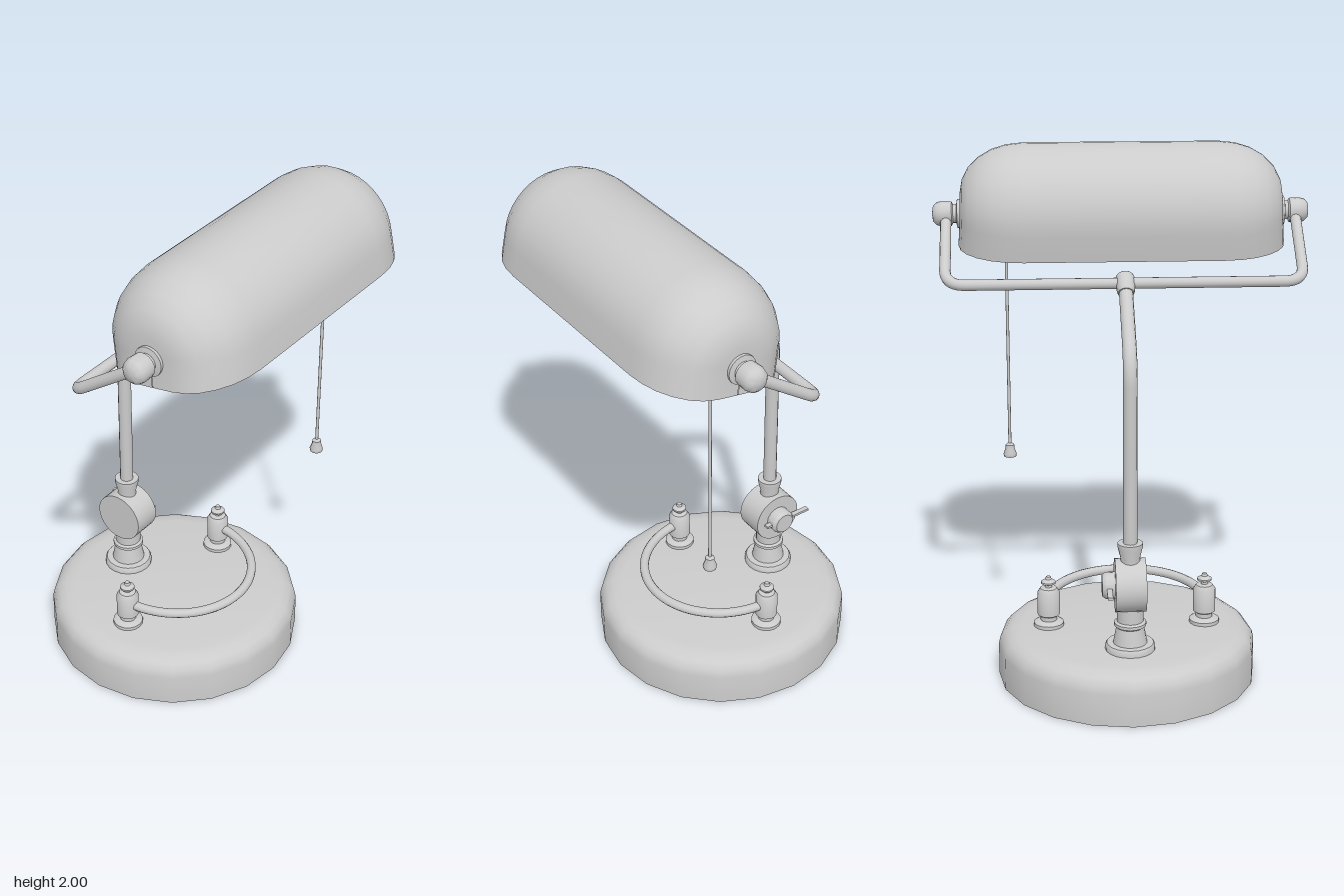
import * as THREE from 'three';
import { toCreasedNormals } from 'three/addons/utils/BufferGeometryUtils.js';

const material = new THREE.MeshStandardMaterial({ color: 0xcccccc, side: THREE.DoubleSide });
const V = (x, y, z) => new THREE.Vector3(x, y, z);

function addMesh(parent, name, geometry, x = 0, y = 0, z = 0) {
  const mesh = new THREE.Mesh(geometry, material);
  mesh.name = name;
  mesh.position.set(x, y, z);
  parent.add(mesh);
  return mesh;
}

// Turned part from [radius, height] pairs, bottom to top
function turned(profile, sides = 20) {
  const points = profile.map(([r, h]) => new THREE.Vector2(r, h));
  return toCreasedNormals(new THREE.LatheGeometry(points, sides), 0.7);
}

// Rod through points with rounded corners
function rod(points, radius, bend = 0.08, segments = 90) {
  const path = new THREE.CurvePath();
  let from = points[0];
  for (let i = 1; i < points.length - 1; i++) {
    const p = points[i];
    const a = p.clone().add(points[i - 1].clone().sub(p).setLength(bend));
    const b = p.clone().add(points[i + 1].clone().sub(p).setLength(bend));
    path.add(new THREE.LineCurve3(from, a));
    path.add(new THREE.QuadraticBezierCurve3(a, p, b));
    from = b;
  }
  path.add(new THREE.LineCurve3(from, points[points.length - 1]));
  return new THREE.TubeGeometry(path, segments, radius, 12);
}

// Hollow shade: half-round sections along x, each with a straight skirt
function shadeGeometry() {
  const half = [[0.612, 0.001], [0.611, 0.08], [0.602, 0.13], [0.58, 0.172],
    [0.54, 0.212], [0.49, 0.241], [0.435, 0.258], [0.37, 0.265]];
  const stations = [...half.map(([x, r]) => [-x, r]), ...half.slice().reverse()];
  const arc = 20, skirt = -0.097, wall = 0.01;
  const positions = [], index = [];
  const ring = 2 * (arc + 3);
  for (const [x, r] of stations) {
    const section = (radius, sx) => {
      const pts = [[sx * 1.012, skirt, radius]];
      for (let i = 0; i <= arc; i++) {
        const t = Math.PI * i / arc;
        pts.push([sx, radius * Math.sin(t), radius * Math.cos(t)]);
      }
      pts.push([sx * 1.012, skirt, -radius]);
      return pts;
    };
    const outer = section(r, x);
    const inner = section(Math.max(r - wall, 0.0005), x * (1 - wall / 0.61)).reverse();
    positions.push(...[...outer, ...inner].flat());
  }
  for (let u = 0; u < stations.length - 1; u++) {
    for (let v = 0; v < ring; v++) {
      const w = (v + 1) % ring;
      const a = u * ring + v, b = a + ring, c = (u + 1) * ring + w, d = u * ring + w;
      index.push(a, b, c, a, c, d);
    }
  }
  const geometry = new THREE.BufferGeometry();
  geometry.setAttribute('position', new THREE.Float32BufferAttribute(positions, 3));
  geometry.setIndex(index);
  return toCreasedNormals(geometry, 0.8);
}

export function createModel() {
  const lamp = new THREE.Group();
  lamp.name = 'deskLamp';
  const stemZ = -0.31, pivotY = 1.735, pivotZ = 0.295, forkY = 1.525;

  // Round base
  addMesh(lamp, 'base', turned([[0, 0], [0.494, 0], [0.494, 0.125], [0.487, 0.155],
    [0.468, 0.178], [0.44, 0.192], [0.4, 0.198], [0, 0.2]], 20), 0, 0, -0.075);

  // Pen rest: two finial posts joined by a curved rail
  const post = turned([[0, 0.195], [0.058, 0.195], [0.058, 0.212], [0.045, 0.22], [0.032, 0.222],
    [0.032, 0.238], [0.043, 0.245], [0.043, 0.335], [0.032, 0.352], [0.014, 0.356], [0.014, 0.365],
    [0.028, 0.371], [0.028, 0.378], [0.012, 0.388], [0.009, 0.398], [0, 0.4]], 16);
  for (const side of [-1, 1]) addMesh(lamp, side > 0 ? 'leftPost' : 'rightPost', post, 0.3 * side, 0, -0.077);
  const railPoints = [];
  for (let i = 0; i <= 16; i++) {
    const t = Math.PI * i / 16;
    railPoints.push(V(0.3 * Math.cos(t), 0.295, -0.077 + 0.317 * Math.sin(t)));
  }
  addMesh(lamp, 'penRail', new THREE.TubeGeometry(new THREE.CatmullRomCurve3(railPoints), 40, 0.018, 10));

  // Stem foot and hinge
  const hinge = new THREE.Group();
  hinge.name = 'hinge';
  hinge.position.z = stemZ;
  lamp.add(hinge);
  addMesh(hinge, 'stemFoot', turned([[0, 0.195], [0.094, 0.195], [0.094, 0.215], [0.088, 0.224],
    [0.064, 0.225], [0.052, 0.288], [0.06, 0.294], [0.06, 0.306], [0.05, 0.312], [0.05, 0.4]]));
  addMesh(hinge, 'hingeDrum', turned([[0, -0.057], [0.1, -0.057], [0.1, 0.057], [0, 0.057]], 28)
    .rotateZ(-Math.PI / 2), 0, 0.453);
  addMesh(hinge, 'hingeKnob', turned([[0, 0.05], [0.05, 0.05], [0.05, 0.092], [0.04, 0.105], [0, 0.105]], 16)
    .rotateZ(-Math.PI / 2), 0, 0.453);
  addMesh(hinge, 'hingeWing', new THREE.BoxGeometry(0.02, 0.01, 0.205), 0.079, 0.453, -0.03);
  addMesh(hinge, 'stemCollar', turned([[0, 0.53], [0.038, 0.53], [0.036, 0.56], [0.047, 0.605],
    [0.047, 0.62], [0, 0.62]]));

  // Bent stem and the joint at its tip
  addMesh(lamp, 'stem', rod([V(0, 0.6, stemZ), V(0, 1.31, stemZ), V(0, forkY, 0)], 0.026, 0.09));
  const joint = addMesh(lamp, 'stemJoint', turned([[0, -0.05], [0.03, -0.05], [0.034, -0.035],
    [0.037, 0], [0.034, 0.03], [0.022, 0.042], [0, 0.042]], 14), 0, forkY, 0);
  joint.rotation.x = Math.atan2(0.31, 0.215);

  // Fork that carries the shade
  addMesh(lamp, 'fork', rod([V(-0.665, pivotY, pivotZ), V(-0.665, forkY, 0), V(0.665, forkY, 0),
    V(0.665, pivotY, pivotZ)], 0.021, 0.075, 140));

  // Pivot knobs, mirrored
  const pivotProfile = [[0, 0.6], [0.055, 0.6], [0.055, 0.622], [0.035, 0.626], [0.035, 0.638],
    [0.046, 0.643], [0.048, 0.68], [0.043, 0.7], [0.03, 0.713], [0, 0.718]];
  for (const side of [-1, 1]) {
    addMesh(lamp, side > 0 ? 'leftPivot' : 'rightPivot',
      turned(pivotProfile, 18).rotateZ(-side * Math.PI / 2), 0, pivotY, pivotZ);
  }

  // Shade, tipped slightly forward
  addMesh(lamp, 'shade', shadeGeometry(), 0, pivotY, pivotZ).rotation.x = -THREE.MathUtils.degToRad(10);

  // Pull cord with its bell
  addMesh(lamp, 'pullCord', rod([V(0.44, 0.8, pivotZ), V(0.44, 1.665, pivotZ), V(0.6, 1.665, pivotZ)],
    0.006, 0.012, 60));
  addMesh(lamp, 'pullBell', turned([[0, 0.762], [0.024, 0.762], [0.026, 0.772], [0.017, 0.798],
    [0.017, 0.81], [0.008, 0.817], [0, 0.817]], 12), 0.44, 0, pivotZ);

  return lamp;
}
